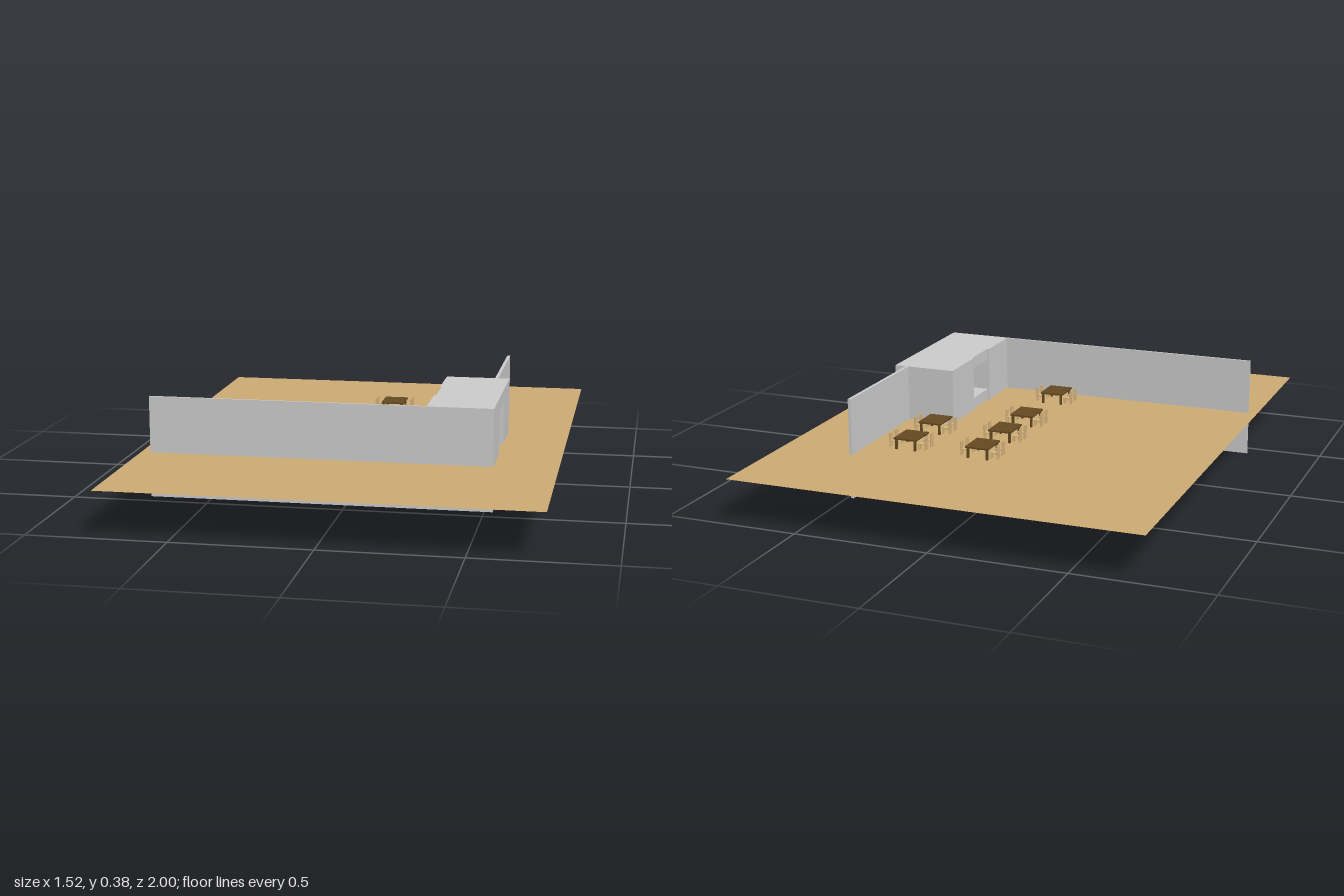
import * as THREE from 'three';

const FLOOR = 0.166, TOP = 0.375;
const grey = new THREE.MeshStandardMaterial({ color: 0xcccccc });
const sand = new THREE.MeshStandardMaterial({ color: 0xccaa73, side: THREE.DoubleSide });
const darkWood = new THREE.MeshStandardMaterial({ color: 0x644a22 });
const lightWood = new THREE.MeshStandardMaterial({ color: 0xd8b47c });

// Box given by its minimum and maximum on each axis
function box(parent, name, mat, [x0, x1], [y0, y1], [z0, z1]) {
  const mesh = new THREE.Mesh(new THREE.BoxGeometry(x1 - x0, y1 - y0, z1 - z0), mat);
  mesh.position.set((x0 + x1) / 2, (y0 + y1) / 2, (z0 + z1) / 2);
  mesh.name = name;
  parent.add(mesh);
  return mesh;
}

// Four square legs at the corners of a rectangle
function legs(parent, name, mat, cx, cz, dx, dz, r, top) {
  for (const sx of [-1, 1]) for (const sz of [-1, 1]) {
    const x = cx + sx * dx, z = cz + sz * dz;
    box(parent, name, mat, [x - r, x + r], [-0.004, top], [z - r, z + r]);
  }
}

// Chair on the +x side, facing the table
function chair(z) {
  const g = new THREE.Group();
  g.name = 'chair';
  box(g, 'chairSeat', lightWood, [0.043, 0.073], [0.021, 0.025], [z - 0.011, z + 0.011]);
  box(g, 'chairBack', lightWood, [0.069, 0.073], [0.025, 0.053], [z - 0.011, z + 0.011]);
  legs(g, 'chairLeg', lightWood, 0.058, z, 0.0125, 0.0085, 0.002, 0.021);
  return g;
}

// Table with two chairs on either side
function diningSet(x, z) {
  const g = new THREE.Group();
  g.name = 'diningSet';
  box(g, 'tableTop', darkWood, [-0.045, 0.045], [0.038, 0.044], [-0.056, 0.056]);
  legs(g, 'tableLeg', darkWood, 0, 0, 0.037, 0.048, 0.004, 0.038);
  for (const turn of [0, Math.PI]) for (const cz of [-0.024, 0.024]) {
    const c = chair(cz);
    c.rotation.y = turn;
    g.add(c);
  }
  g.position.set(x, FLOOR, z);
  return g;
}

export function createModel() {
  const model = new THREE.Group();
  model.name = 'diningHall';

  // Thin floor sheet
  const floor = new THREE.Mesh(new THREE.PlaneGeometry(1.52, 2), sand);
  floor.rotation.x = -Math.PI / 2;
  floor.position.y = FLOOR;
  floor.name = 'floor';
  model.add(floor);

  // Walls
  box(model, 'frontWall', grey, [-0.725, 0.29], [0, TOP], [0.432, 0.44]);
  box(model, 'sideWall', grey, [0.475, 0.487], [0, TOP], [-0.6, -0.115]);

  // Service block: two solid ends, a lintel and a counter across the passage
  box(model, 'frontBlock', grey, [0.29, 0.53], [0, TOP], [0.24, 0.44]);
  box(model, 'backBlock', grey, [0.29, 0.53], [0, TOP], [-0.117, 0.085]);
  box(model, 'lintel', grey, [0.297, 0.53], [0.33, TOP], [0.085, 0.24]);
  box(model, 'counter', grey, [0.297, 0.4], [0.12, 0.21], [0.085, 0.24]);

  // Dining sets
  for (const [x, z] of [[0.037, -0.43], [0.037, -0.215], [0.035, 0], [0.035, 0.325], [0.32, -0.43], [0.32, -0.215]])
    model.add(diningSet(x, z));

  return model;
}
